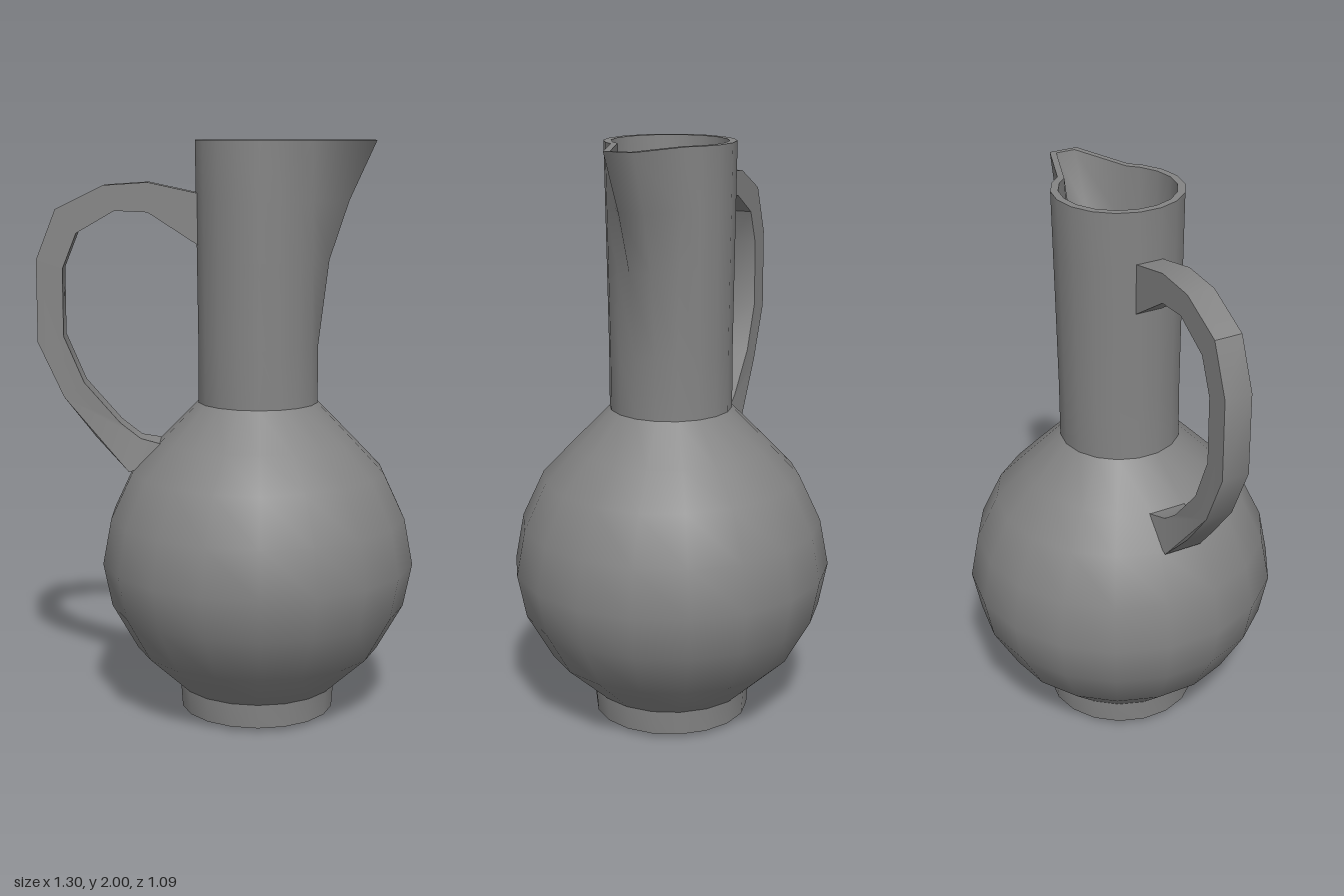
import * as THREE from 'three';
import { toCreasedNormals } from 'three/addons/utils/BufferGeometryUtils.js';

const SIDES = 18;
const CREASE = 0.6;
const material = new THREE.MeshStandardMaterial({ color: 0x848484 });

const points = (list) => list.map(([x, y]) => new THREE.Vector2(x, y));
const lathe = (profile) => new THREE.LatheGeometry(points(profile), SIDES);

function addPart(parent, name, geometry) {
  const mesh = new THREE.Mesh(geometry, material);
  mesh.name = name;
  parent.add(mesh);
}

// Neck: height, outer radius and reach of the spout at each level
const WALL = 0.025;
const LEVELS = [
  [1.11, 0.208, 0.205], [1.31, 0.208, 0.205], [1.6, 0.212, 0.24], [1.8, 0.215, 0.305], [2, 0.218, 0.395],
];
const neckOuter = LEVELS.map(([y, r]) => [r, y]);
const neckInner = LEVELS.map(([y, r]) => [r - WALL, y]).reverse();
const neckRim = [neckOuter.at(-1), neckInner[0]];

// A smooth surface of the neck, its front edges pulled out into the spout
function neckSurface(profile) {
  const geometry = lathe(profile);
  const pos = geometry.attributes.position;
  for (let i = 0; i < pos.count; i++) {
    const x = pos.getX(i), y = pos.getY(i), z = pos.getZ(i);
    const [, r, reach] = LEVELS.find((l) => Math.abs(l[0] - y) < 0.001);
    const radius = Math.hypot(x, z);
    const isInner = radius < r - 0.01;
    const angle = THREE.MathUtils.radToDeg(Math.atan2(z, x));
    const t = (reach - 0.205) / 0.19;
    if (Math.abs(angle) < 15) {
      // the two front edges form the lip of the spout
      const half = isInner ? 0.034 : THREE.MathUtils.lerp(0.036, 0.05, t);
      pos.setXYZ(i, reach - (isInner ? WALL - 0.007 * t : 0), y, Math.sign(z) * half);
    } else if (Math.abs(angle) < 35) {
      // the next edges move back to the root of the spout
      const a = THREE.MathUtils.degToRad(30 + 6.5 * t);
      pos.setXYZ(i, radius * Math.cos(a), y, Math.sign(z) * radius * Math.sin(a));
    }
  }
  return toCreasedNormals(geometry, 1.5);
}

// Handle: a faceted loop, its lower end flared where it meets the body
function handleGeometry() {
  const outline = [
    [-0.19, 1.82], [-0.375, 1.86], [-0.525, 1.85], [-0.687, 1.77], [-0.754, 1.6],
    [-0.754, 1.32], [-0.667, 1.13], [-0.557, 0.99], [-0.445, 0.87], [-0.3, 0.92],
    [-0.335, 0.97], [-0.405, 0.985], [-0.475, 1.04], [-0.597, 1.18], [-0.665, 1.34],
    [-0.665, 1.57], [-0.617, 1.69], [-0.487, 1.765], [-0.375, 1.76], [-0.19, 1.64],
  ];
  const width = 0.095;
  const geometry = new THREE.ExtrudeGeometry(new THREE.Shape(points(outline)), {
    depth: width, bevelEnabled: false,
  });
  geometry.translate(0, 0, -width / 2);
  const pos = geometry.attributes.position;
  for (let i = 0; i < pos.count; i++) {
    if (pos.getY(i) < 0.98) pos.setZ(i, pos.getZ(i) * 1.42);
  }
  return toCreasedNormals(geometry, 0.5);
}

export function createModel() {
  const group = new THREE.Group();
  group.name = 'jug';
  const jug = new THREE.Group();
  jug.name = 'vessel';
  jug.position.x = 0.108;
  jug.rotation.y = -0.09;
  group.add(jug);

  // Foot ring with a slightly domed base
  addPart(jug, 'foot', toCreasedNormals(lathe([
    [0, 0], [0.268, 0.015], [0.274, 0.1],
  ]), CREASE));

  // Round belly
  addPart(jug, 'body', toCreasedNormals(lathe([
    [0.274, 0.1], [0.425, 0.24], [0.515, 0.4], [0.545, 0.55],
    [0.515, 0.71], [0.44, 0.87], [0.335, 0.98], [0.208, 1.11],
  ]), CREASE));

  // Inside of the belly, seen through the neck
  addPart(jug, 'interior', toCreasedNormals(lathe([
    [0.183, 1.11], [0.315, 0.96], [0.415, 0.855], [0.489, 0.7], [0.516, 0.55],
    [0.489, 0.41], [0.4, 0.255], [0.25, 0.12], [0.245, 0.04], [0, 0.04],
  ]), CREASE));

  addPart(jug, 'neckOutside', neckSurface(neckOuter));
  addPart(jug, 'neckInside', neckSurface(neckInner));
  addPart(jug, 'rim', neckSurface(neckRim));
  addPart(jug, 'handle', handleGeometry());
  return group;
}
